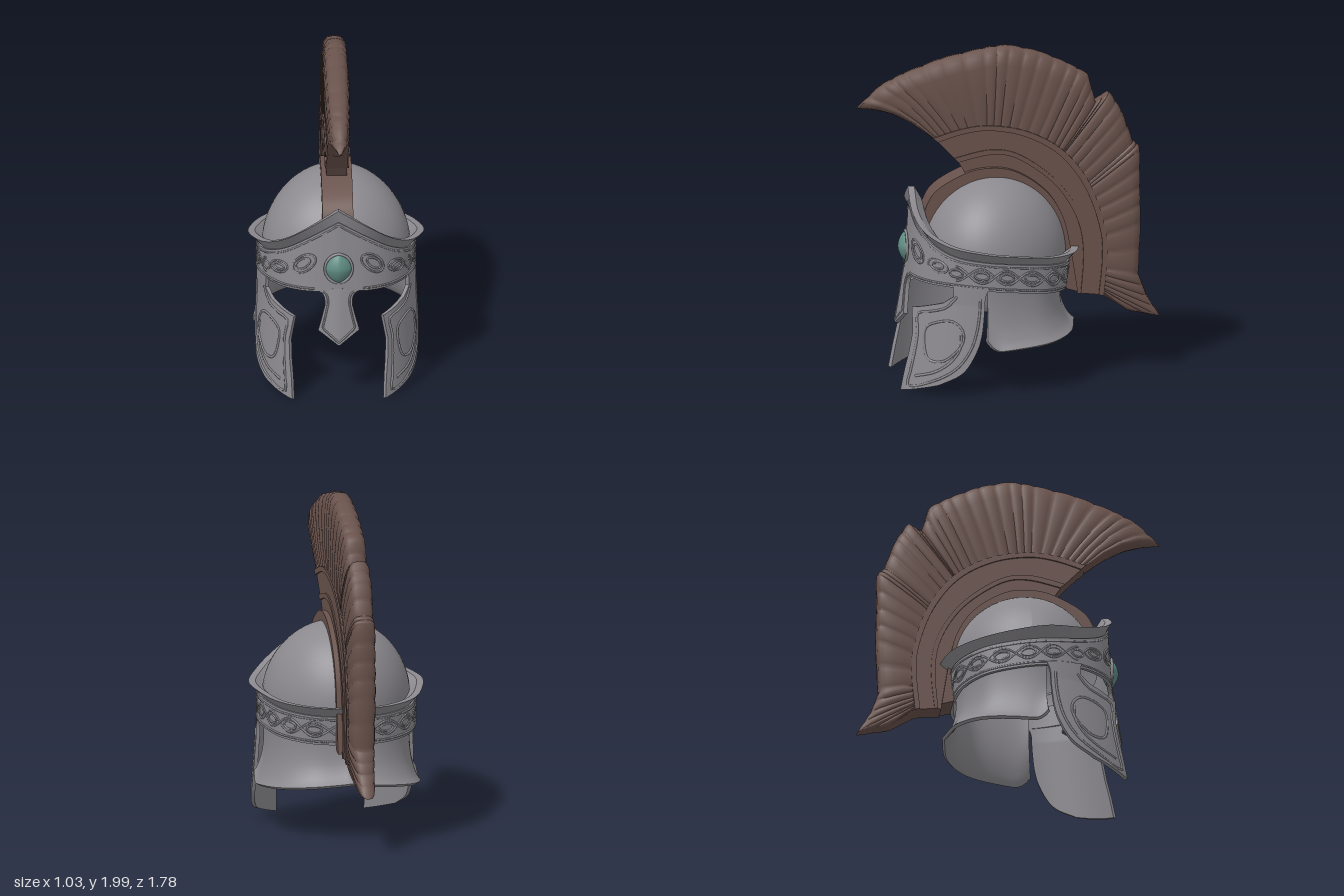
import * as THREE from 'three';
import { toCreasedNormals } from 'three/addons/utils/BufferGeometryUtils.js';

const V = (x, y, z) => new THREE.Vector3(x, y, z);
const spline = (pts) => new THREE.CatmullRomCurve3(pts);
const mat = (name, color) => Object.assign(new THREE.MeshStandardMaterial({ color, side: THREE.DoubleSide }), { name });

export function createModel() {
  const iron = mat('iron', 0x8b898e), brown = mat('crestBrown', 0x69524c), teal = mat('gemTeal', 0x5f8c83);
  const model = new THREE.Group();
  const add = (name, geo, material = iron) => {
    const m = new THREE.Mesh(geo, material);
    m.name = name;
    model.add(m);
    return m;
  };

  // surface f(u, v), optionally given a thickness with closed edges
  const sheet = (f, nu, nv, thick = 0, crease = 0.6) => {
    const pos = [], idx = [], W = nv + 1, count = (nu + 1) * W;
    for (let i = 0; i <= nu; i++) for (let j = 0; j <= nv; j++) pos.push(...f(i / nu, j / nv).toArray());
    for (let i = 0; i < nu; i++) for (let j = 0; j < nv; j++) {
      const a = i * W + j, b = a + W;
      idx.push(a, b, a + 1, b, b + 1, a + 1);
    }
    const g = new THREE.BufferGeometry();
    g.setAttribute('position', new THREE.Float32BufferAttribute(pos, 3));
    g.setIndex(idx);
    g.computeVertexNormals();
    if (!thick) return toCreasedNormals(g, crease);
    const n = g.attributes.normal.array;
    const all = [...pos.map((p, k) => p + n[k] * thick / 2), ...pos.map((p, k) => p - n[k] * thick / 2)];
    const full = [...idx];
    for (let k = 0; k < idx.length; k += 3) full.push(idx[k] + count, idx[k + 2] + count, idx[k + 1] + count);
    const rim = [];
    for (let i = 0; i < nu; i++) rim.push(i * W);
    for (let j = 0; j < nv; j++) rim.push(nu * W + j);
    for (let i = nu; i > 0; i--) rim.push(i * W + nv);
    for (let j = nv; j > 0; j--) rim.push(j);
    rim.forEach((a, k) => {
      const b = rim[(k + 1) % rim.length];
      full.push(a, a + count, b, b, a + count, b + count);
    });
    const s = new THREE.BufferGeometry();
    s.setAttribute('position', new THREE.Float32BufferAttribute(all, 3));
    s.setIndex(full);
    return toCreasedNormals(s, crease);
  };
  const wire = (name, pts, r = 0.006, closed = false) =>
    add(name, new THREE.TubeGeometry(new THREE.CatmullRomCurve3(pts, closed), pts.length * 3, r, 5, closed));
  const outward = (p, s) => V(p.x * s, p.y, 0.1 + (p.z - 0.1) * s);

  // half outlines from front to back: band bottom, band top, lip edge (x, y, z each)
  const rows = [
    [0, .67, .60, 0, 1.09, .575, 0, 1.165, .59], [.17, .66, .575, .17, .985, .55, .19, 1.05, .585],
    [.30, .655, .50, .30, .895, .48, .32, .965, .53], [.40, .65, .36, .40, .835, .36, .43, .90, .40],
    [.45, .635, .18, .45, .805, .18, .512, .865, .18], [.435, .615, 0, .435, .785, 0, .488, .84, 0],
    [.365, .59, -.18, .365, .76, -.19, .402, .81, -.21], [.22, .57, -.29, .22, .74, -.31, .24, .795, -.36],
    [0, .56, -.33, 0, .73, -.35, 0, .785, -.42]];
  const [bot, top, lip] = [0, 3, 6].map((k) => spline(rows.map((r) => V(r[k], r[k + 1], r[k + 2]))));
  const at = (curve, a) => {
    const p = curve.getPoint(Math.min(1, Math.abs(a)));
    if (a < 0) p.x *= -1;
    return p;
  };

  // dome, egg-shaped: narrower at the back
  const domeGeo = new THREE.SphereGeometry(1, 48, 20, 0, Math.PI * 2, 0, Math.PI / 2);
  const dp = domeGeo.attributes.position;
  for (let i = 0; i < dp.count; i++) dp.setX(i, dp.getX(i) * (1 + 0.14 * dp.getZ(i)));
  domeGeo.computeVertexNormals();
  const dome = add('dome', domeGeo);
  dome.scale.set(0.43, 0.465, 0.43);
  dome.position.set(0, 0.77, 0.09);

  // brow band and flaring lip
  add('browBand', sheet((u, v) => at(bot, 2 * u - 1).lerp(at(top, 2 * u - 1), v), 96, 4, 0.02));
  add('browLip', sheet((u, v) => {
    const a = 2 * u - 1, t = at(top, a), l = at(lip, a);
    return [t, l, outward(l, 0.92), outward(t, 0.86)][Math.round(v * 3)];
  }, 96, 3));

  // band ornament: edge lines, interlaced waves and ovals
  const onBand = (a, dy) => {
    const b = at(bot, a), t = at(top, a);
    return outward(b.lerp(t, dy / (t.y - b.y)), 1.022);
  };
  const range = (n, f) => Array.from({ length: n + 1 }, (_, i) => f(i / n));
  const ovalOn = (name, a, dy, ra, rd, tilt = 0) => wire(name, range(15, (t) => {
    const c = Math.cos(t * 5.89);
    return onBand(a + ra * c, dy + rd * Math.sin(t * 5.89) + tilt * c);
  }), 0.006, true);
  wire('bandTopLine', range(64, (t) => outward(at(top, 2 * t - 1), 1.02).add(V(0, -0.02, 0))));
  for (const s of [1, -1]) {
    wire('bandBottomLine', range(32, (t) => onBand(s * (0.1 + 0.9 * t), 0.018)));
    for (const k of [1, -1]) wire('bandWave', range(64, (t) =>
      onBand(s * (0.38 + 0.6 * t), 0.088 + k * 0.042 * Math.cos(t * Math.PI * 6))));
    for (let i = 0; i <= 6; i++) ovalOn('bandOval', s * (0.38 + 0.1 * i), 0.088, 0.027, 0.022);
    ovalOn('browOval', s * 0.15, 0.165, 0.056, 0.052, -0.03 * s);
    ovalOn('browOvalInner', s * 0.155, 0.165, 0.036, 0.03, -0.02 * s);
    ovalOn('templeOval', s * 0.29, 0.115, 0.052, 0.035, -0.01 * s);
    ovalOn('templeOvalInner', s * 0.29, 0.115, 0.03, 0.017);
  }

  // gem in a round setting
  const gemGeo = new THREE.SphereGeometry(1, 28, 20);
  const gp = gemGeo.attributes.position;
  const sharpen = (c) => Math.sign(c) * Math.abs(c) ** 1.25;
  for (let i = 0; i < gp.count; i++) gp.setXYZ(i, sharpen(gp.getX(i)), sharpen(gp.getY(i)), sharpen(gp.getZ(i)));
  gemGeo.computeVertexNormals();
  const gem = add('gem', gemGeo, teal);
  gem.scale.set(0.078, 0.09, 0.048);
  gem.position.set(0, 0.808, 0.6);
  const setting = add('gemSetting', new THREE.TorusGeometry(0.08, 0.008, 8, 32));
  setting.scale.y = 1.12;
  setting.position.set(0, 0.808, 0.602);

  // nose guard
  const noseRows = spline([V(.2, .68, 0), V(.095, .65, 0), V(.077, .6, 0), V(.088, .54, 0), V(.118, .43, 0)]);
  const noseAt = (x, y) => V(x, y, 0.6 + 0.05 * (0.68 - y) / 0.3 - 0.2 * Math.abs(x));
  const noseEdge = (t) => (t < 0.8 ? noseRows.getPoint(t / 0.8) : V(.118, .43, 0).lerp(V(0.001, .345, 0), (t - 0.8) / 0.2));
  add('noseGuard', sheet((u, v) => {
    const e = noseEdge(v);
    return noseAt((2 * u - 1) * e.x, e.y);
  }, 8, 30, 0.025));
  for (const s of [1, -1]) wire('noseBorder', range(24, (t) => {
    const e = noseEdge(0.15 + 0.85 * t);
    return noseAt(s * e.x * 0.8, e.y + 0.02 * t).add(V(0, 0, 0.013));
  }));

  // neck guard with a flared hem
  const neckScale = (v) => 0.95 - 0.03 * Math.sin(Math.PI * Math.min(1, v * 1.2)) + 0.17 * v ** 7;
  add('neckGuard', sheet((u, v) => {
    const a = 2 * u - 1, k = Math.abs(a);
    const p = at(bot, Math.sign(a || 1) * (1 - 0.5 * k));
    const hem = 0.335 - 0.07 * k ** 0.8 + 0.07 * Math.max(0, (k - 0.88) / 0.12) ** 2;
    const q = outward(p, neckScale(v) - 0.07 * k * v ** 7);
    return V(q.x, 0.72 + (hem - 0.72) * v, q.z);
  }, 64, 20, 0.02));

  // cheek guards: front edge corners and curved back edge (z, y) from top to bottom
  const cheekFront = [[.375, .67], [.37, .6], [.43, .555], [.59, .505], [.59, .36], [.61, .25], [.635, .14], [.66, .01]];
  const cheekBack = spline([[.17, .65], [.19, .6], [.195, .53], [.2, .47], [.213, .37], [.24, .28], [.32, .15], [.455, .07]]
    .map(([z, y]) => V(0, y, z)));
  const cheekAt = (s, z, y, lift = 1) => {
    const drop = Math.max(0, 0.55 - y), zz = Math.max(0, (z - 0.12 * drop - 0.16) / 0.52);
    const x = 0.455 * Math.sqrt(Math.max(0.05, 1 - zz ** 1.8)) + 0.05 * drop;
    return V(s * x * lift, y, 0.15 + (z - 0.15) * lift);
  };
  const cheekPoint = (s, u, v) => {
    const k = v * 7, i = Math.min(6, Math.floor(k)), b = cheekBack.getPoint(v);
    const [z, y] = cheekFront[i].map((c, j) => c + (cheekFront[i + 1][j] - c) * (k - i));
    return cheekAt(s, z + (b.z - z) * u, y + (b.y - y) * u);
  };
  for (const s of [1, -1]) {
    add('cheekGuard', sheet((u, v) => cheekPoint(s, u, v), 14, 56, 0.022));
    const path = (name, pts, closed) => wire(name, pts.map(([z, y]) => cheekAt(s, z, y, 1.022)), 0.008, closed);
    path('cheekBorder', [[.35, .6], [.41, .53], [.49, .5], [.56, .475], [.562, .37], [.58, .25], [.605, .13],
      [.62, .05], [.47, .1], [.35, .18], [.275, .29], [.24, .4], [.225, .5], [.22, .59]]);
    path('cheekPanel', [[.52, .4], [.46, .44], [.37, .45], [.32, .4], [.32, .33], [.37, .26], [.44, .21], [.51, .22], [.53, .3]], true);
    path('cheekCurl', [[.58, .11], [.47, .15], [.38, .22], [.33, .31], [.33, .38]]);
  }

  // crest mount: curved slabs between arcs in the side plane (z, y)
  const arc = (pts) => new THREE.SplineCurve(pts.map(([z, y]) => new THREE.Vector2(z, y)));
  const arcs = {
    skull: arc([[.44, .92], [.37, 1.07], [.26, 1.17], [.13, 1.21], [-.02, 1.19], [-.17, 1.09], [-.27, .95], [-.31, .8], [-.33, .54]]),
    comb: arc([[.52, .98], [.455, 1.13], [.32, 1.225], [.165, 1.277], [-.02, 1.26], [-.205, 1.14], [-.31, .98], [-.355, .8], [-.4, .52]]),
    tier1In: arc([[.26, 1.25], [.1, 1.26], [-.02, 1.24], [-.2, 1.12], [-.3, .97], [-.345, .8], [-.4, .5]]),
    tier1Lip: arc([[.3, 1.315], [.1, 1.355], [-.06, 1.32], [-.27, 1.16], [-.395, .96], [-.435, .76], [-.42, .5]]),
    tier1: arc([[.325, 1.34], [.11, 1.385], [-.07, 1.345], [-.285, 1.18], [-.42, .97], [-.46, .76], [-.44, .5]]),
    rimIn: arc([[.42, 1.44], [.27, 1.485], [.11, 1.5], [-.1, 1.455], [-.3, 1.335], [-.45, 1.13], [-.535, .88], [-.545, .7], [-.525, .49]]),
    rim: arc([[.45, 1.465], [.28, 1.515], [.11, 1.53], [-.115, 1.485], [-.325, 1.36], [-.48, 1.15], [-.565, .88], [-.575, .7], [-.555, .485]]),
  };
  const slab = (name, outer, inner, half) => {
    const shape = new THREE.Shape([...arcs[outer].getPoints(48), ...arcs[inner].getPoints(48).reverse()]);
    const g = new THREE.ExtrudeGeometry(shape, { depth: half * 2, bevelEnabled: false });
    g.translate(0, 0, -half).rotateY(-Math.PI / 2);
    add(name, toCreasedNormals(g, 0.6), brown);
  };
  slab('combBand', 'comb', 'skull', 0.09);
  slab('crestMountLower', 'tier1Lip', 'tier1In', 0.06);
  slab('crestMountLowerRim', 'tier1', 'tier1Lip', 0.07);
  slab('crestMountUpper', 'rimIn', 'tier1', 0.062);
  slab('crestMountRim', 'rim', 'rimIn', 0.072);

  // plume: tip (z, y), root (z, y) and tip width along the crest
  const strands = [
    [.895, 1.645, .44, 1.45, .55], [.75, 1.78, .40, 1.46, .8], [.62, 1.845, .33, 1.485, .9], [.39, 1.93, .24, 1.51, 1],
    [.14, 1.985, .13, 1.52, 1], [0, 2, .05, 1.51, 1], [-.18, 1.957, -.05, 1.49, 1], [-.35, 1.88, -.17, 1.44, 1],
    [-.47, 1.81, -.26, 1.39, 1], [-.515, 1.65, -.31, 1.35, .9], [-.595, 1.70, -.32, 1.34, .9], [-.67, 1.58, -.39, 1.26, 1],
    [-.735, 1.40, -.455, 1.16, .9], [-.775, 1.36, -.475, 1.13, 1], [-.775, 1.13, -.52, 1, 1], [-.78, .92, -.55, .84, 1],
    [-.765, .6, -.56, .64, .9], [-.815, .465, -.555, .57, .75], [-.895, .335, -.545, .53, .6], [-.71, .377, -.54, .51, .7],
    [-.58, .465, -.535, .49, .8]];
  const ring = [[0, .85], [.3, .98], [.55, 1], [.78, .97], [.92, .85], [.985, .55], [1, 0]];
  const last = strands.length - 1;
  add('plume', sheet((u, v) => {
    const k = u * last, i = Math.min(last - 1, Math.floor(k));
    const [tz, ty, rz, ry, tw] = strands[i].map((c, j) => c + (strands[i + 1][j] - c) * (k - i));
    const n = Math.round(v * 12) - 6, [t, w] = ring[6 - Math.abs(n)];
    const ridge = Math.abs(Math.sin(k * 2 * Math.PI)) ** 0.6;
    const ends = Math.sqrt(Math.min(1, u / 0.015, (1 - u) / 0.015));
    const half = 0.075 * w * (1 + (tw - 1) * t) * (0.9 + 0.1 * ridge) * ends;
    const reach = t * (1 - 0.01 * (1 - ridge));
    const bow = 0.05 * Math.max(0, 1 - k / 3) * Math.sin(Math.PI * t);
    return V(Math.sign(n) * half, ry + (ty - ry) * reach + bow, rz + (tz - rz) * reach);
  }, last * 14, 12, 0, 0.9), brown);

  return model;
}
